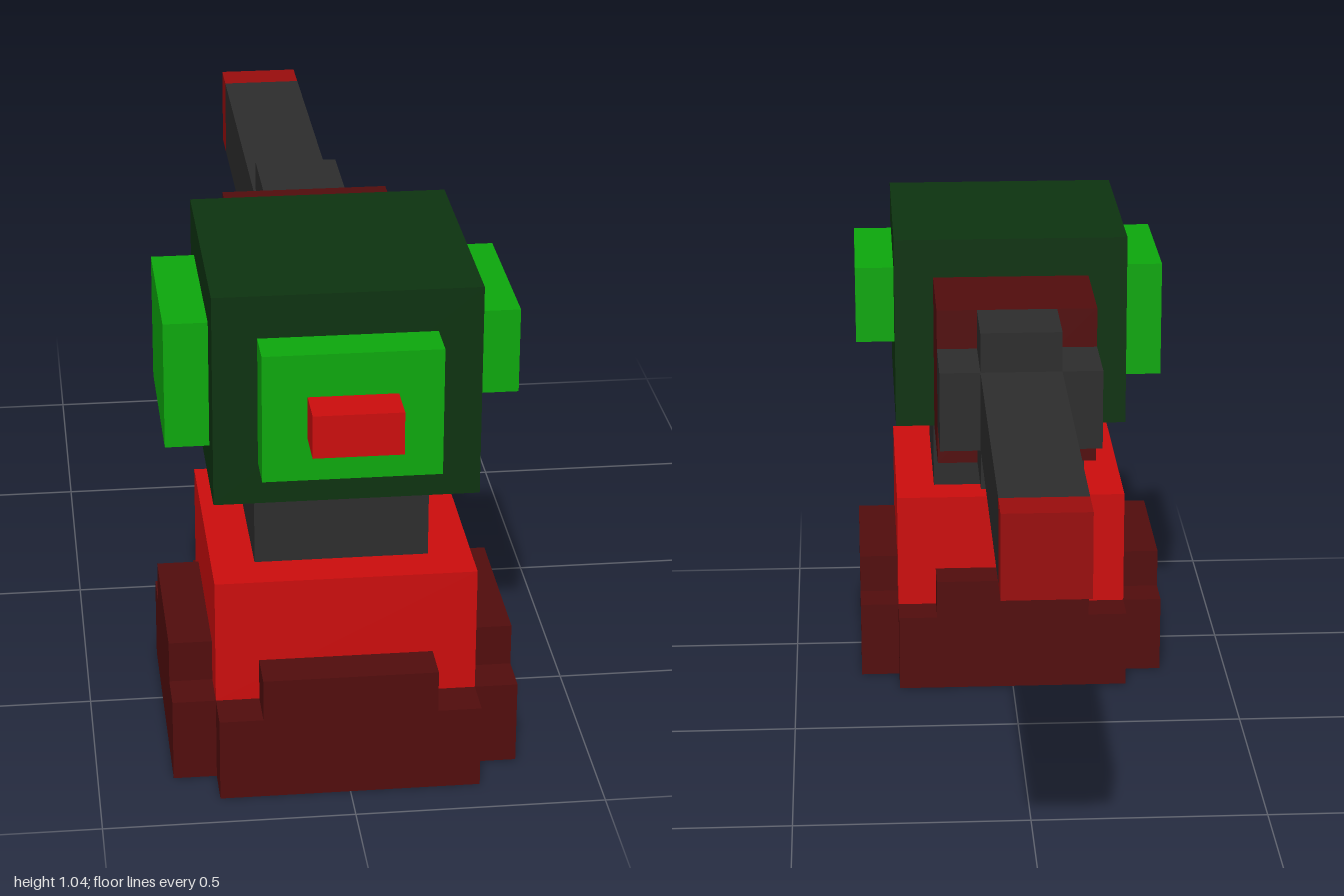
import * as THREE from 'three';

const U = 2 / 23; // one grid cell

const mat = (name, color) => {
  const m = new THREE.MeshStandardMaterial({ color });
  m.name = name;
  return m;
};

export function createModel() {
  const model = new THREE.Group();
  model.name = 'turret';

  const red = mat('red', 0xcc0d0d);
  const tipRed = mat('tip red', 0x9a0d0d);
  const maroon = mat('maroon', 0x520d0d);
  const green = mat('green', 0x0da80d);
  const darkGreen = mat('dark green', 0x0d3310);
  const grey = mat('charcoal', 0x2d2d2d);

  // Box given by its ranges in cells; z is counted back from the front end
  const box = (name, material, [x0, x1], [y0, y1], [z0, z1]) => {
    const geo = new THREE.BoxGeometry((x1 - x0) * U, (y1 - y0) * U, (z1 - z0) * U);
    const mesh = new THREE.Mesh(geo, material);
    mesh.position.set((x0 + x1) / 2 * U, (y0 + y1) / 2 * U, 1 - (z0 + z1) / 2 * U);
    mesh.name = name;
    model.add(mesh);
  };

  // Base: core with a skirt and a raised block on every side
  box('baseCore', maroon, [-3, 3], [0, 2], [2, 8]);
  for (const [side, a, b] of [['Right', -4, -3], ['Left', 3, 4]]) {
    box('baseSkirt' + side, maroon, [a, b], [0, 2], [2, 8]);
    box('baseBlock' + side, maroon, [a, b], [2, 3], [3, 7]);
  }
  for (const [side, a, b] of [['Front', 1, 2], ['Back', 8, 9]]) {
    box('baseSkirt' + side, maroon, [-3, 3], [0, 2], [a, b]);
    box('baseBlock' + side, maroon, [-2, 2], [2, 3], [a, b]);
  }

  // Body and neck
  box('body', red, [-3, 3], [2, 5], [2, 8]);
  box('neck', grey, [-2, 2], [5, 7], [3, 7]);

  // Head with uneven side plates, front plate and button
  box('head', darkGreen, [-3, 3], [7, 12], [2, 8]);
  box('sidePlateRight', green, [-4, -3], [8, 11], [3, 7]);
  box('sidePlateLeft', green, [3, 4], [9, 11], [3, 7]);
  box('frontPlate', green, [-2, 2], [8, 11], [1, 2]);
  box('frontButton', red, [-1, 1], [9, 10], [0, 1]);

  // Barrel mount, cross-shaped collar, barrel and tip
  box('barrelMount', maroon, [-2, 2], [7, 11], [8, 11]);
  box('collarTop', grey, [-1, 1], [10, 11], [11, 13]);
  box('collarBottom', grey, [-1, 1], [7, 8], [11, 13]);
  box('collarRight', grey, [-2, -1], [8, 10], [11, 13]);
  box('collarLeft', grey, [1, 2], [8, 10], [11, 13]);
  box('barrel', grey, [-1, 1], [8, 10], [11, 22]);
  box('barrelTip', tipRed, [-1, 1], [8, 10], [22, 23]);

  return model;
}
